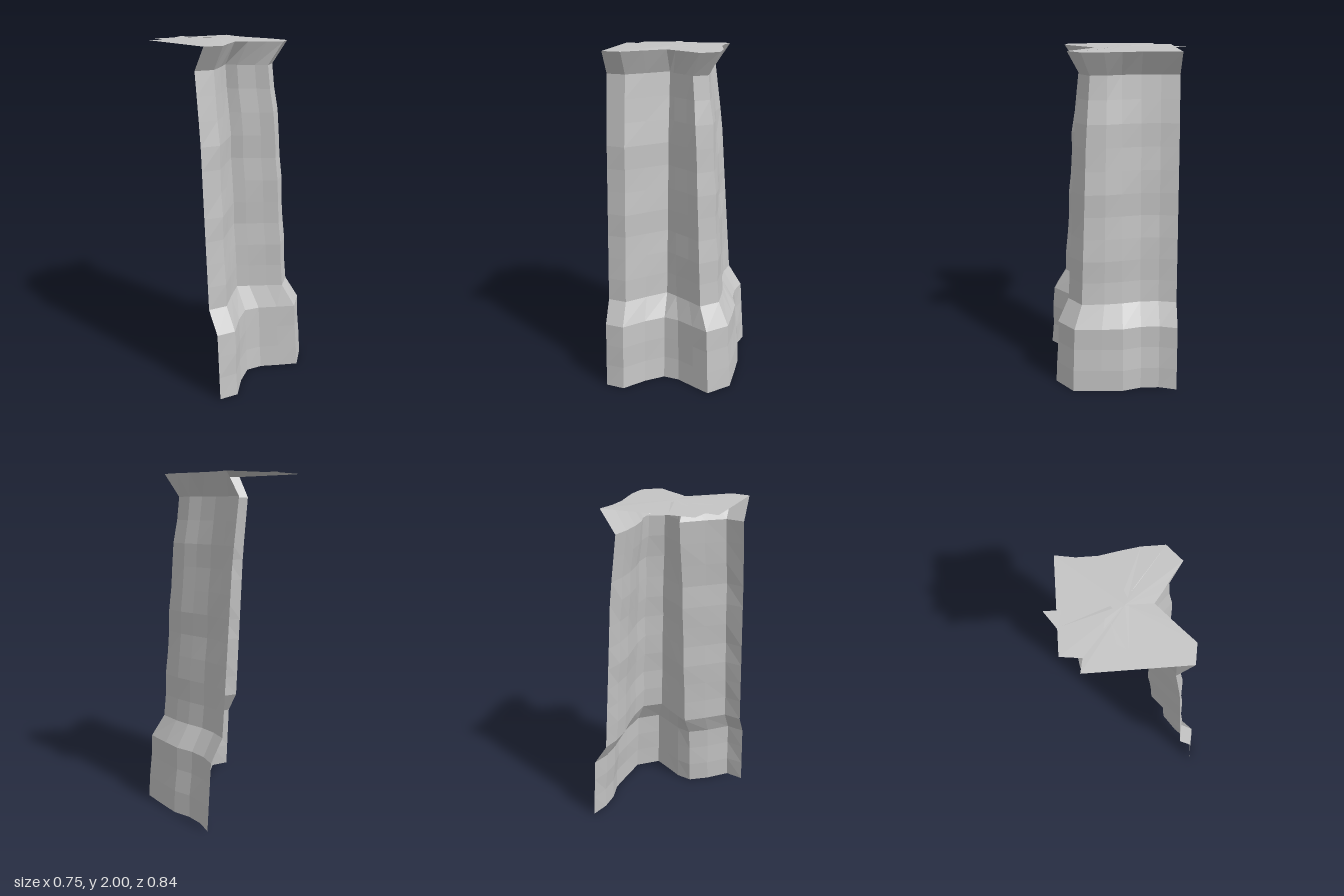
import * as THREE from 'three';

const stone = new THREE.MeshStandardMaterial({ color: 0xc4c4c4, side: THREE.DoubleSide, flatShading: true });
stone.name = 'grey stone';

// Plan of the open wall [x, z], from the left end round the front to the back right end
const basePlan = [[-.38, .4], [-.27, .42], [-.16, .315], [-.055, .245], [.04, .262], [.14, .32], [.24, .375],
  [.36, .27], [.37, .1], [.375, -.03], [.345, -.14], [.345, -.25], [.375, -.355]];
const rimPlan = [[-.38, .27], [-.27, .29], [-.165, .2], [-.055, .11], [.003, .155], [.09, .215], [.16, .27],
  [.255, .195], [.255, .07], [.24, -.03], [.22, -.14], [.22, -.25], [.24, -.355]];
const RIM = 0.61;

// How far the plan has drawn in at each height: plinth, ledge, tapering shaft, neck, flared rim
const taper = [[0, 0], [.4, .12], [.53, .49], [1.2, .7], [1.5, .79], [1.86, 1], [1.99, RIM]];

function inset(y) {
  let i = 0;
  while (i < taper.length - 2 && y > taper[i + 1][0]) i++;
  const [y0, t0] = taper[i], [y1, t1] = taper[i + 1];
  return t0 + (t1 - t0) * (y - y0) / (y1 - y0);
}

function mesh(name, positions, index) {
  const g = new THREE.BufferGeometry();
  g.setAttribute('position', new THREE.Float32BufferAttribute(positions, 3));
  if (index) g.setIndex(index);
  g.computeVertexNormals();
  const m = new THREE.Mesh(g, stone);
  m.name = name;
  return m;
}

// Wall section between two heights, faceted by a slight roughness
function wall(name, heights) {
  const n = basePlan.length, pos = [], idx = [];
  heights.forEach((y, r) => {
    const t = inset(y) / RIM;
    basePlan.forEach(([x, z], c) => {
      const inner = c > 0 && c < n - 1 && r > 0 && r < heights.length - 1;
      const rough = inner ? 0.005 * Math.sin(c * 12.9 + y * 78.2) : 0;
      pos.push(x + (rimPlan[c][0] - x) * t + (c > 6 ? rough : 0), y,
        z + (rimPlan[c][1] - z) * t + (c <= 6 ? rough : 0));
      if (r && c) {
        const d = r * n + c, a = d - n - 1;
        idx.push(a, a + 1, d, a, d, d - 1);
      }
    });
  });
  return mesh(name, pos, idx);
}

const steps = (a, b, n) => Array.from({ length: n + 1 }, (_, i) => a + (b - a) * i / n);

export function createModel() {
  const group = new THREE.Group();
  group.add(
    wall('plinth', steps(0, .4, 3)),
    wall('ledge', [.4, .53]),
    wall('shaft', steps(.53, 1.86, 10)),
    wall('flaredRim', [1.86, 1.99]),
  );

  // Cap: a fan over the rim and the ragged back and left edges
  const edge = [...rimPlan, [-.055, -.355], [-.29, -.355], [-.305, -.245], [-.38, -.26], [-.38, 0]];
  const pos = [-.055, 1.997, -.03], idx = [];
  edge.forEach(([x, z], i) => {
    pos.push(x, 1.99, z);
    idx.push(0, i + 1, (i + 1) % edge.length + 1);
  });
  group.add(mesh('cap', pos, idx));

  // Loose splinters lying across the cap, and one jutting out behind
  const splinters = [
    [[-.055, 1.99, -.3], [-.055, 1.992, -.42], [-.15, 1.99, -.355]],
    [[-.14, 1.994, -.335], [-.07, 2, -.09], [-.055, 1.997, -.1]],
    [[.245, 1.993, .19], [.04, 1.998, .03], [.0, 2, -.005]],
    [[.25, 1.993, .07], [.02, 2, -.03], [-.02, 1.999, -.015]],
    [[-.28, 1.994, -.03], [-.06, 1.999, -.012], [-.06, 2, -.03]],
    [[-.28, 1.994, -.04], [-.14, 2, -.105], [-.25, 1.995, -.085]],
    [[-.17, 1.995, -.14], [-.06, 2, -.04], [-.12, 1.998, -.13]],
  ];
  group.add(mesh('capSplinters', splinters.flat(2)));
  return group;
}
